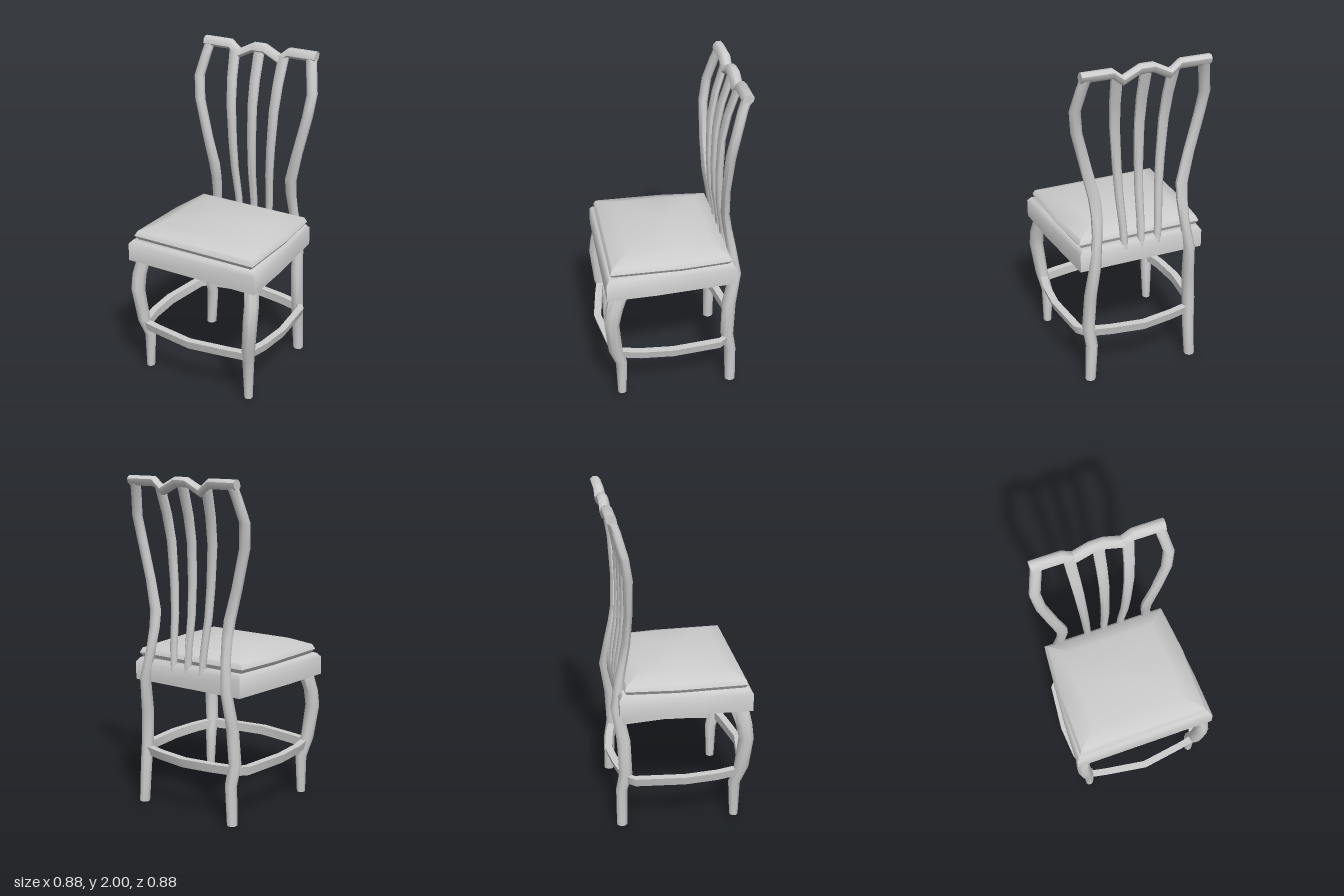
import * as THREE from 'three';
import { toCreasedNormals } from 'three/addons/utils/BufferGeometryUtils.js';

const material = new THREE.MeshStandardMaterial({ color: 0xcccccc });

// Skins a list of rings (arrays of [x, y, z]) and closes both ends
function loft(name, rings) {
  const n = rings[0].length, pos = rings.flat(2), index = [];
  for (let i = 0; i < rings.length - 1; i++) {
    for (let j = 0; j < n; j++) {
      const a = i * n + j, b = i * n + (j + 1) % n;
      index.push(a, b, b + n, a, b + n, a + n);
    }
  }
  [0, rings.length - 1].forEach((r, end) => {
    const c = pos.length / 3;
    for (let k = 0; k < 3; k++) pos.push(rings[r].reduce((s, p) => s + p[k], 0) / n);
    for (let j = 0; j < n; j++) {
      const a = r * n + j, b = r * n + (j + 1) % n;
      index.push(c, ...(end ? [a, b] : [b, a]));
    }
  });
  const geo = new THREE.BufferGeometry();
  geo.setAttribute('position', new THREE.Float32BufferAttribute(pos, 3));
  geo.setIndex(index);
  const mesh = new THREE.Mesh(toCreasedNormals(geo, 0.9), material);
  mesh.name = name;
  return mesh;
}

// Rounded eight-sided section as [u, v] pairs
const section = (ru, rv) => Array.from({ length: 8 }, (_, j) => {
  const a = (j + 0.5) * Math.PI / 4;
  return [ru * Math.cos(a) / Math.cos(Math.PI / 8), rv * Math.sin(a) / Math.cos(Math.PI / 8)];
});

// Upright turned member; stations are [y, x, z, halfWidth, halfDepth]
const upright = (name, stations, side = 1) => loft(name, stations.map(([y, x, z, rx, rz]) =>
  section(rz, rx).map(([u, v]) => [x * side + v, y, z + u])));

// Horizontal slab: an outline of [z, x] scaled at each [y, scale] level
const slab = (name, outline, levels, zMid) => loft(name, levels.map(([y, s]) =>
  outline.map(([z, x]) => [x * s, y, zMid + (z - zMid) * s])));

// Bowed stretcher along local x with its slanted outer face toward +z
function stretcher(name, points, turn) {
  const mesh = loft(name, points.map(([x, z]) =>
    [[0.295, z - 0.045], [0.35, z - 0.045], [0.35, z], [0.295, z - 0.014]].map(([y, w]) => [x, y, w])));
  mesh.rotation.y = turn;
  return mesh;
}

export function createModel() {
  const chair = new THREE.Group();
  chair.name = 'chair';

  // Seat frame and domed cushion
  chair.add(slab('seatFrame',
    [[-0.385, -0.39], [0.1, -0.43], [0.4, -0.44], [0.4, 0.44], [0.1, 0.43], [-0.385, 0.39]],
    [[0.77, 1], [0.88, 1], [0.905, 0.95]], 0));
  chair.add(slab('cushion',
    [[-0.355, -0.385], [-0.05, -0.412], [0.375, -0.412], [0.375, 0.412], [-0.05, 0.412], [-0.355, 0.385]],
    [[0.895, 0.94], [0.93, 1], [0.96, 0.965], [1.003, 0.7], [1.025, 0.02]], -0.01));

  // Front legs, and back legs that run on into the back posts
  const frontLeg = [
    [0.01, 0.362, 0.315, 0.024, 0.025], [0.24, 0.358, 0.315, 0.032, 0.034],
    [0.36, 0.378, 0.352, 0.036, 0.042], [0.57, 0.4, 0.372, 0.04, 0.043],
    [0.67, 0.398, 0.355, 0.039, 0.048], [0.79, 0.378, 0.32, 0.036, 0.058]];
  const backPost = [
    [0, 0.338, -0.382, 0.03, 0.031], [0.24, 0.325, -0.378, 0.034, 0.033],
    [0.36, 0.335, -0.352, 0.035, 0.038], [0.58, 0.322, -0.36, 0.034, 0.04],
    [0.79, 0.305, -0.396, 0.032, 0.034], [0.97, 0.28, -0.37, 0.028, 0.027],
    [1.1, 0.272, -0.344, 0.032, 0.025], [1.2, 0.277, -0.327, 0.035, 0.024],
    [1.38, 0.32, -0.318, 0.032, 0.023], [1.62, 0.378, -0.323, 0.031, 0.027],
    [1.76, 0.394, -0.345, 0.031, 0.027], [1.9, 0.365, -0.383, 0.031, 0.027],
    [1.96, 0.352, -0.404, 0.031, 0.027]];
  for (const [label, side] of [['left', 1], ['right', -1]]) {
    chair.add(upright(label + 'FrontLeg', frontLeg, side));
    chair.add(upright(label + 'BackPost', backPost, side));
  }

  // Three fanned slats following the curve of the back
  const curve = [[0.86, -0.365], [1.0, -0.357], [1.2, -0.327], [1.38, -0.318],
    [1.62, -0.322], [1.78, -0.35], [1.95, -0.4]];
  for (const [name, low, high] of [['leftSlat', 0.11, 0.17], ['centreSlat', 0, 0], ['rightSlat', -0.11, -0.17]]) {
    chair.add(upright(name, curve.map(([y, z]) => {
      const t = (y - 0.95) / 1;
      return [y, low + (high - low) * t, z, 0.021 + 0.012 * t, 0.021];
    })));
  }

  // Wavy crest rail
  const half = [[0.04, 1.972], [0.14, 1.922], [0.2, 1.97], [0.385, 1.97]];
  const crest = [...half.map(([x, y]) => [-x, y]).reverse(), ...half];
  chair.add(loft('crestRail', crest.map(([x, y]) =>
    section(0.029, 0.03).map(([u, v]) => [x, y + u, -0.407 - (u > 0 ? 0.003 : -0.003) + v]))));

  // Bowed stretchers around the legs
  const side = [[-0.37, 0.385], [-0.2, 0.425], [0, 0.44], [0.3, 0.41], [0.36, 0.36]];
  const front = [[-0.385, 0.375], [-0.26, 0.4], [0, 0.44], [0.26, 0.4], [0.385, 0.375]];
  const back = [[-0.36, 0.37], [-0.2, 0.41], [0, 0.44], [0.2, 0.41], [0.36, 0.37]];
  chair.add(stretcher('frontStretcher', front, 0));
  chair.add(stretcher('backStretcher', back, Math.PI));
  chair.add(stretcher('leftStretcher', side, Math.PI / 2));
  chair.add(stretcher('rightStretcher', side.map(([x, z]) => [-x, z]).reverse(), -Math.PI / 2));

  return chair;
}
